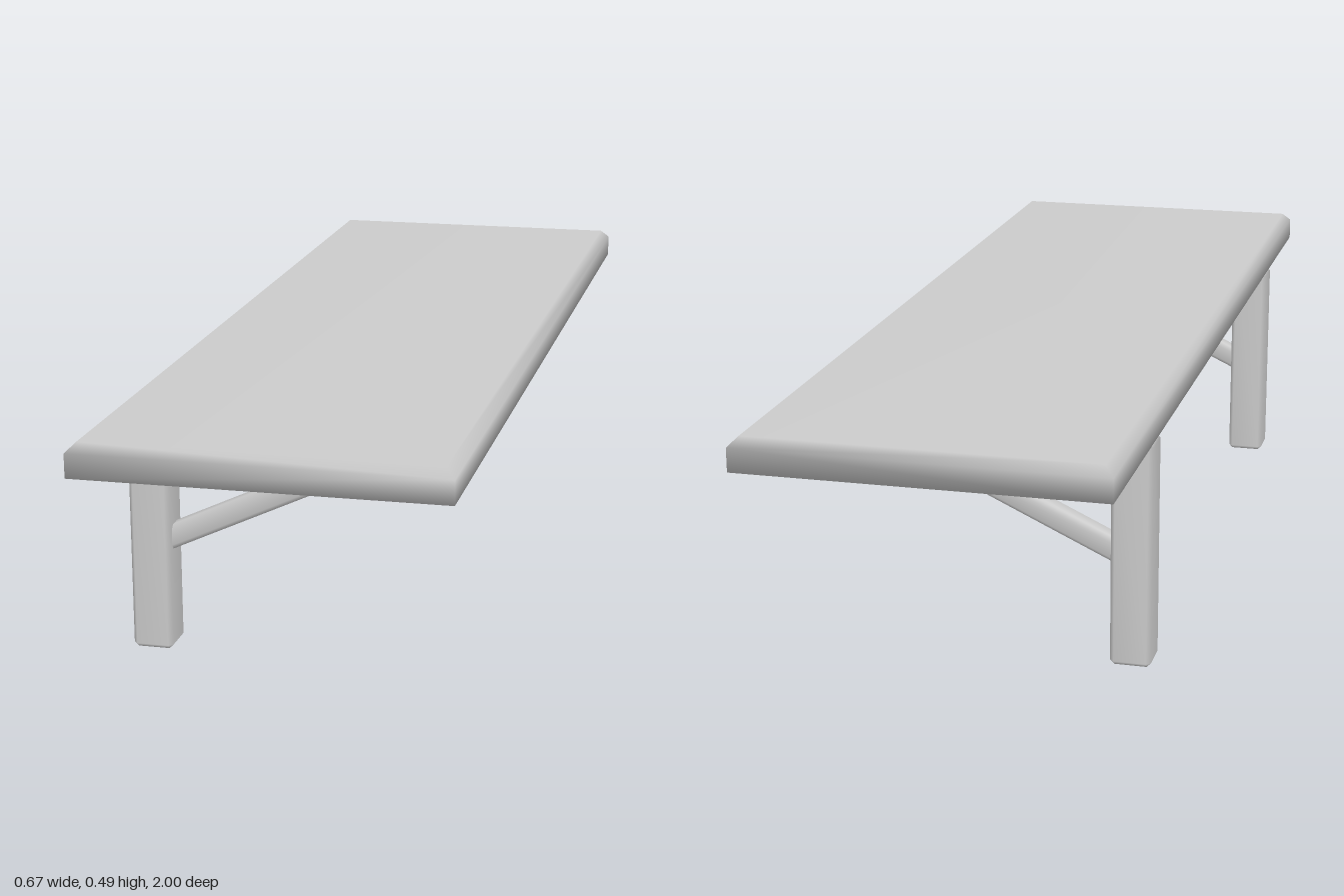
import * as THREE from 'three';
import { mergeVertices } from 'three/addons/utils/BufferGeometryUtils.js';
import { ConvexGeometry } from 'three/addons/geometries/ConvexGeometry.js';

const material = new THREE.MeshStandardMaterial({ color: 0xcccccc });

// Convex solid with one shared, smooth normal per corner
function smoothHull(points) {
  const hull = new ConvexGeometry(points);
  hull.deleteAttribute('normal');
  const geometry = mergeVertices(hull, 1e-5);
  geometry.computeVertexNormals();
  return geometry;
}

// Box with every edge chamfered by c
function chamferedBox(w, h, d, c) {
  const points = [];
  for (const sx of [-1, 1]) for (const sy of [-1, 1]) for (const sz of [-1, 1]) {
    const [x, y, z] = [w / 2, h / 2, d / 2];
    points.push(
      new THREE.Vector3(sx * x, sy * (y - c), sz * (z - c)),
      new THREE.Vector3(sx * (x - c), sy * y, sz * (z - c)),
      new THREE.Vector3(sx * (x - c), sy * (y - c), sz * z)
    );
  }
  return smoothHull(points);
}

// Board with chamfers on its upper rim only
function boardGeometry(w, d, y0, y1, c) {
  const points = [];
  for (const [y, inset] of [[y0, 0], [y1 - c, 0], [y1, c]])
    for (const sx of [-1, 1]) for (const sz of [-1, 1])
      points.push(new THREE.Vector3(sx * (w / 2 - inset), y, sz * (d / 2 - inset)));
  return smoothHull(points);
}

export function createModel() {
  const group = new THREE.Group();
  const add = (name, geometry) => {
    const mesh = new THREE.Mesh(geometry, material);
    mesh.name = name;
    group.add(mesh);
    return mesh;
  };

  add('shelfBoard', boardGeometry(0.666, 2, 0.427, 0.488, 0.017));

  // Brace runs from inside the post up into the board
  const start = new THREE.Vector2(-0.29, 0.2);
  const end = new THREE.Vector2(0.252, 0.452);
  const span = end.clone().sub(start);

  for (const [side, z] of [['front', 0.65], ['back', -0.643]]) {
    add(side + 'Post', chamferedBox(0.076, 0.427, 0.076, 0.008)).position.set(-0.295, 0.2135, z);
    const brace = add(side + 'Brace', chamferedBox(span.length(), 0.043, 0.043, 0.008));
    brace.position.set((start.x + end.x) / 2, (start.y + end.y) / 2, z);
    brace.rotation.z = span.angle();
  }
  return group;
}
